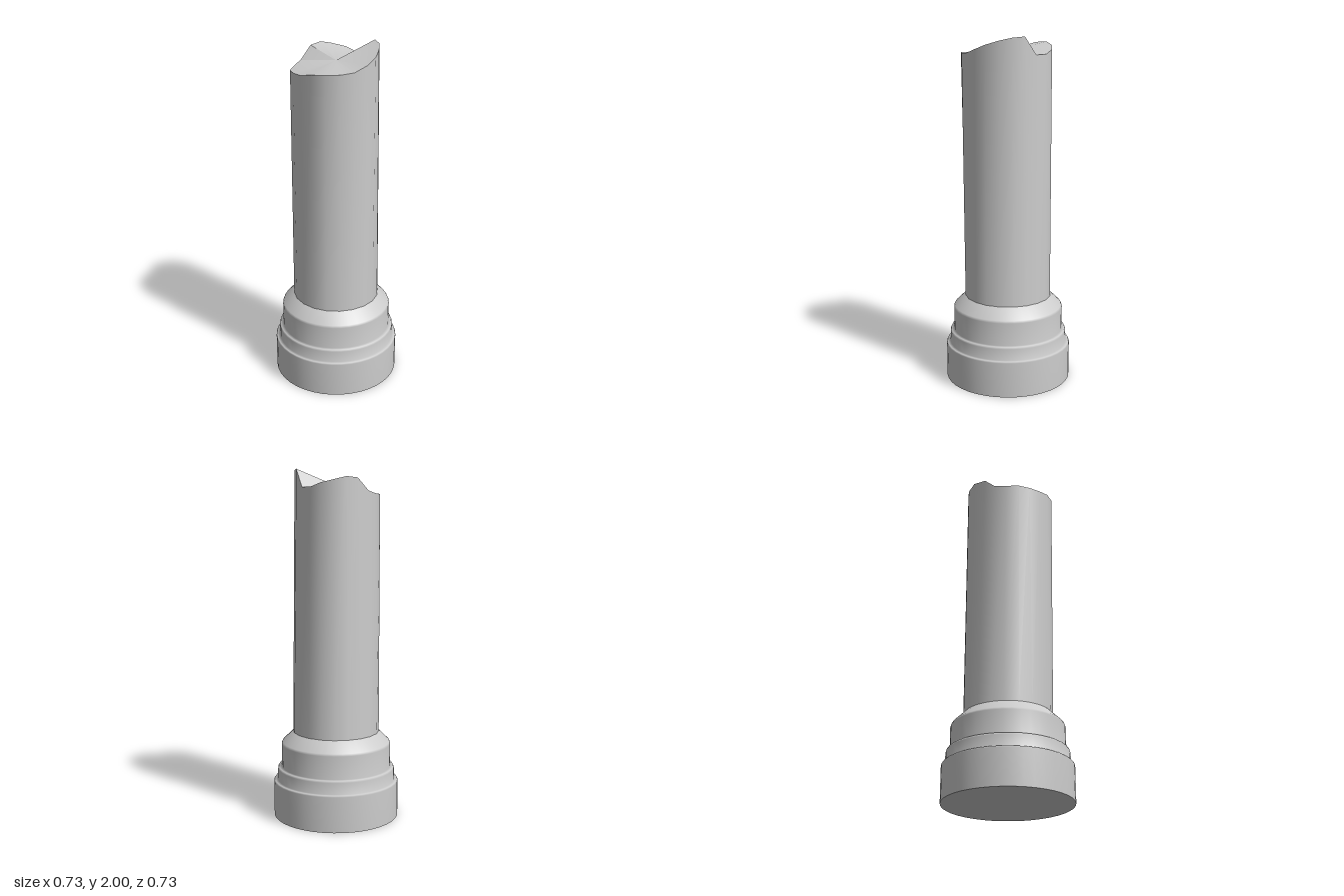
import * as THREE from 'three';
import { toCreasedNormals } from 'three/addons/utils/BufferGeometryUtils.js';

const SIDES = 20;

// Broken rim as [x, y, z], going round from +x towards +z
const RIM = [
  [0.247, 1.93, 0], [0.238, 1.905, 0.08], [0.21, 1.9, 0.15], [0.16, 1.9, 0.215], [0.08, 1.89, 0.245],
  [0, 1.872, 0.25], [-0.075, 1.865, 0.235], [-0.14, 1.862, 0.205], [-0.185, 1.866, 0.14], [-0.21, 1.88, 0.075],
  [-0.213, 1.95, 0], [-0.222, 1.956, -0.08], [-0.2, 1.94, -0.145], [-0.145, 1.922, -0.2], [-0.08, 1.9, -0.222],
  [0, 1.9, -0.225], [0.075, 2, -0.215], [0.14, 1.995, -0.187], [0.19, 1.98, -0.137], [0.233, 1.957, -0.073],
];

function buildMesh(name, positions, index, crease) {
  let geometry = new THREE.BufferGeometry();
  geometry.setAttribute('position', new THREE.Float32BufferAttribute(positions, 3));
  geometry.setIndex(index);
  geometry = toCreasedNormals(geometry, crease);
  const mesh = new THREE.Mesh(geometry, new THREE.MeshStandardMaterial({ color: 0xcccccc }));
  mesh.name = name;
  return mesh;
}

// Tapering sides from a regular ring up to the uneven rim
function makeShaft() {
  const positions = [];
  const index = [];
  for (let i = 0; i < SIDES; i++) {
    const a = (i / SIDES) * Math.PI * 2;
    positions.push(0.25 * Math.cos(a), 0.49, 0.25 * Math.sin(a), ...RIM[i]);
    const b0 = 2 * i;
    const b1 = 2 * ((i + 1) % SIDES);
    index.push(b0, b0 + 1, b1, b1, b0 + 1, b1 + 1);
  }
  return buildMesh('shaft', positions, index, 0.7);
}

// Fan from the middle of the break to the rim
function makeBrokenTop() {
  const positions = [0, 1.908, 0, ...RIM.flat()];
  const index = [];
  for (let i = 0; i < SIDES; i++) index.push(0, 1 + ((i + 1) % SIDES), 1 + i);
  return buildMesh('brokenTop', positions, index, 0.5);
}

export function createModel() {
  const group = new THREE.Group();
  group.name = 'brokenColumn';

  // Stepped base with a sloping shoulder
  const profile = [
    [0.363, 0], [0.363, 0.205], [0.358, 0.213], [0.342, 0.215], [0.34, 0.28], [0.335, 0.291],
    [0.318, 0.293], [0.318, 0.425], [0.312, 0.438], [0.25, 0.498], [0.235, 0.5],
  ].map(([r, y]) => new THREE.Vector2(r, y));
  const material = new THREE.MeshStandardMaterial({ color: 0xcccccc });
  const base = new THREE.Mesh(new THREE.LatheGeometry(profile, 40), material);
  base.name = 'steppedBase';

  const underside = new THREE.Mesh(new THREE.CircleGeometry(0.363, 40), material);
  underside.name = 'underside';
  underside.rotation.x = Math.PI / 2;

  group.add(base, underside, makeShaft(), makeBrokenTop());
  return group;
}
